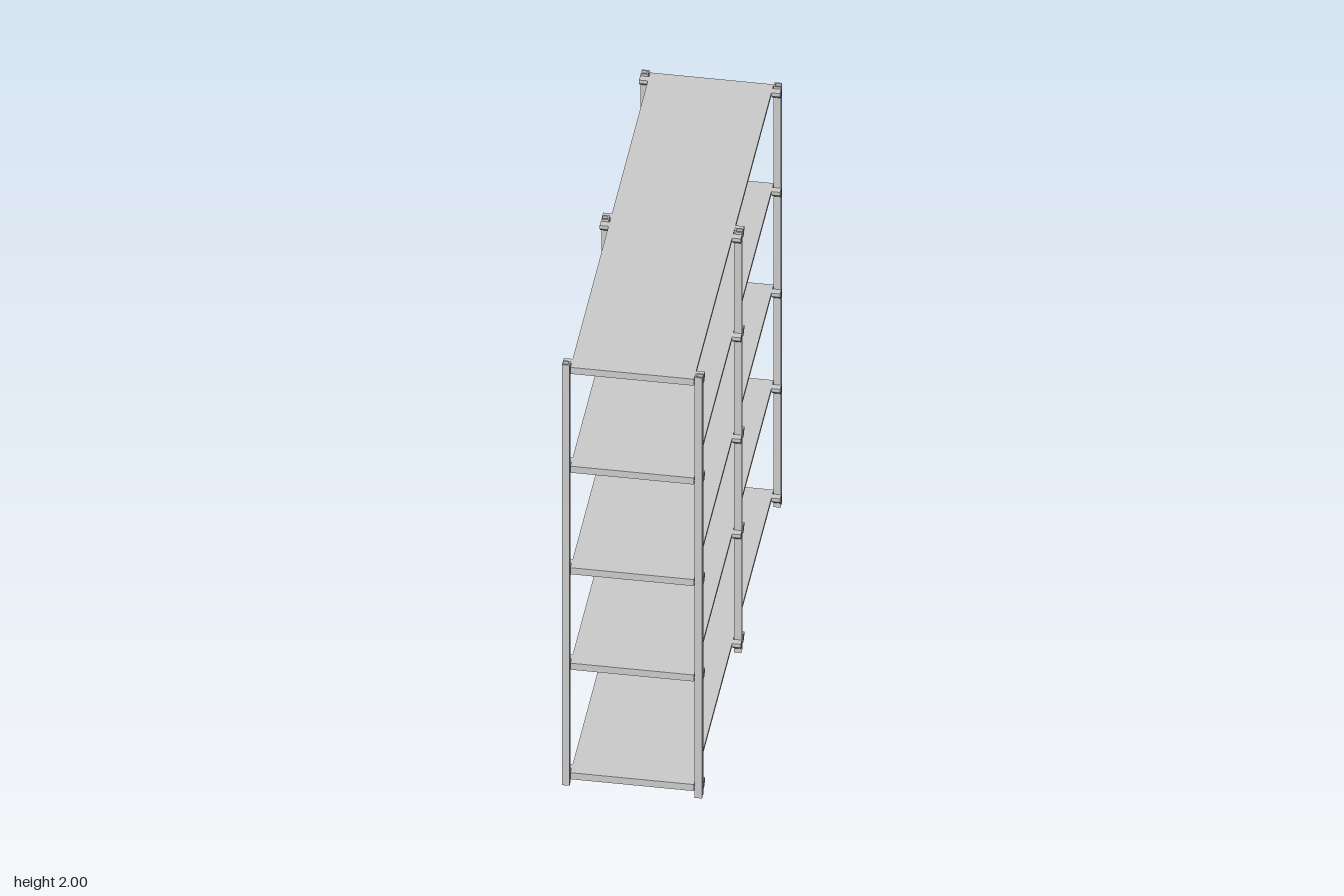
import * as THREE from 'three';

const material = new THREE.MeshStandardMaterial({ color: 0xcccccc, flatShading: true });
const POST_Z = [-0.943, 0, 0.943];
const SHELF_TOPS = [0.062, 0.583, 1.037, 1.52, 1.99];

function box(name, w, h, d, x, y, z) {
  const mesh = new THREE.Mesh(new THREE.BoxGeometry(w, h, d), material);
  mesh.name = name;
  mesh.position.set(x, y, z);
  return mesh;
}

function polygon(points) {
  return new THREE.Shape(points.map(([x, y]) => new THREE.Vector2(x, y)));
}

// Upright: a channel section, open towards the outside of the rack
function createPost(side, z) {
  const a = 0.014, t = 0.006, inner = 0.242, outer = 0.271;
  const shape = polygon([
    [inner, -a], [outer, -a], [outer, -a + t], [inner + t, -a + t],
    [inner + t, a - t], [outer, a - t], [outer, a], [inner, a],
  ]);
  const geometry = new THREE.ExtrudeGeometry(shape, { depth: 2, bevelEnabled: false });
  geometry.rotateX(-Math.PI / 2);
  if (side < 0) geometry.rotateY(Math.PI);
  const post = new THREE.Mesh(geometry, material);
  post.name = 'post';
  post.position.z = z;
  return post;
}

// Chamfered gusset beside a post, reaching along z in direction dir
function createBracket(side, top, z, dir) {
  const shape = polygon([[0, 0], [0, -0.033], [0.012, -0.033], [0.028, -0.016], [0.028, 0]]);
  const geometry = new THREE.ExtrudeGeometry(shape, { depth: 0.034, bevelEnabled: false });
  geometry.translate(0, 0, -0.017);
  geometry.rotateY(dir > 0 ? -Math.PI / 2 : Math.PI / 2);
  const bracket = new THREE.Mesh(geometry, material);
  bracket.name = 'bracket';
  bracket.position.set(side * 0.256, top, z + dir * 0.0135);
  return bracket;
}

// Sheet shelf with shallow side lips and deeper folded ends
function createShelf(top) {
  const shelf = new THREE.Group();
  shelf.name = 'shelf';
  shelf.add(box('panel', 0.478, 0.005, 1.912, 0, top - 0.0025, 0));
  for (const s of [-1, 1]) {
    shelf.add(box('sideLip', 0.005, 0.014, 1.912, s * 0.2365, top - 0.007, 0));
    shelf.add(box('endFlange', 0.478, 0.031, 0.005, 0, top - 0.0155, s * 0.9535));
    shelf.add(box('endReturn', 0.478, 0.004, 0.018, 0, top - 0.029, s * 0.947));
  }
  return shelf;
}

export function createModel() {
  const model = new THREE.Group();
  model.name = 'shelvingRack';
  for (const top of SHELF_TOPS) model.add(createShelf(top));

  for (const side of [-1, 1]) {
    for (const z of POST_Z) {
      model.add(createPost(side, z));
      // Brackets only point towards the shelf span
      for (const dir of [-1, 1]) {
        if (z * dir > 0) continue;
        for (const top of SHELF_TOPS) model.add(createBracket(side, top, z, dir));
      }
    }
  }
  return model;
}
